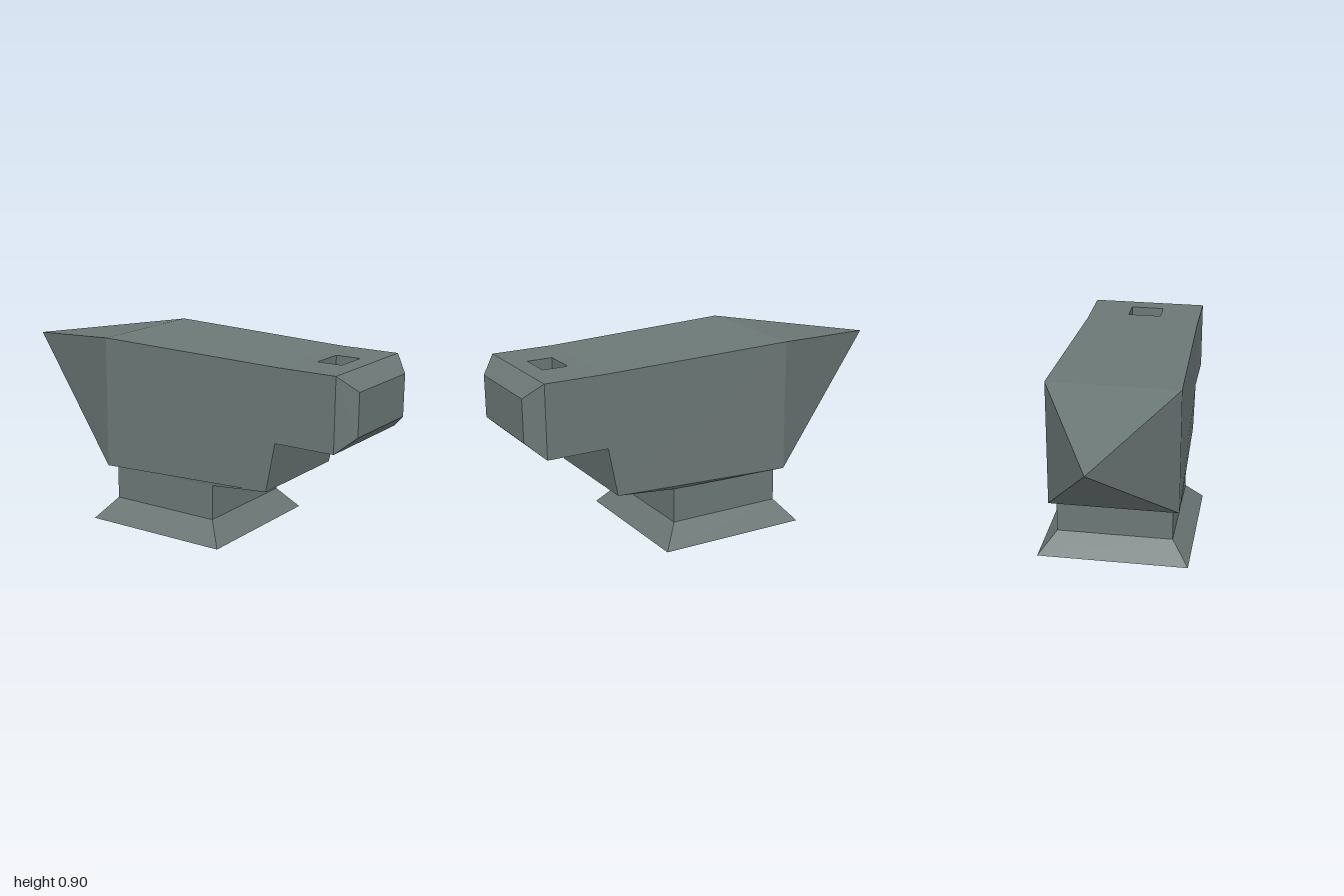
import * as THREE from 'three';

// Flat-faced mesh from polygons listed counter-clockwise seen from outside
function facets(name, polygons, material) {
  const pos = [];
  for (const p of polygons)
    for (let i = 1; i < p.length - 1; i++) pos.push(...p[0], ...p[i], ...p[i + 1]);
  const g = new THREE.BufferGeometry();
  g.setAttribute('position', new THREE.Float32BufferAttribute(pos, 3));
  g.computeVertexNormals();
  const mesh = new THREE.Mesh(g, material);
  mesh.name = name;
  return mesh;
}

// Each polygon followed by its mirror image across z = 0
const mirrored = (polys) => polys.concat(
  polys.map((p) => p.map(([x, y, z]) => [x, y, -z]).reverse()));

// Horizontal rectangle, counter-clockwise from above
const flatRect = (x0, x1, z, y) => [[x0, y, z], [x1, y, z], [x1, y, -z], [x0, y, -z]];
// Rectangle across the x axis, counter-clockwise seen from +x
const endRect = (x, y0, y1, z) => [[x, y0, z], [x, y0, -z], [x, y1, -z], [x, y1, z]];

// Four-sided bands joining two matching rectangles
const band = (a, b) => a.map((p, i) => {
  const j = (i + 1) % 4;
  return [p, a[j], b[j], b[i]];
});

export function createModel() {
  const iron = new THREE.MeshStandardMaterial({ color: 0x6c7876, side: THREE.DoubleSide });
  iron.name = 'iron';
  const group = new THREE.Group();
  group.name = 'anvil';

  // Corner points on the +z side
  const tip = [-1, 0.8, 0];
  const hornTop = [-0.3, 0.9, 0.316], hornLow = [-0.3, 0.268, 0.316];
  const bodyLow = [0.587, 0.296, 0.287];
  const stepIn = [0.632, 0.53, 0.29], stepTop = [0.632, 0.873, 0.29];
  const flip = ([x, y, z]) => [x, y, -z];

  // Pointed horn
  group.add(facets('horn', [
    ...mirrored([[tip, hornLow, hornTop]]),
    [tip, hornTop, flip(hornTop)],
    [tip, flip(hornLow), hornLow],
  ], iron));

  // Main block, with an underside ring that meets the waist
  const waistTop = flatRect(-0.265, 0.295, 0.283, 0.268);
  const underside = [hornLow, bodyLow, flip(bodyLow), flip(hornLow)];
  group.add(facets('body', [
    ...mirrored([[hornLow, bodyLow, stepIn, stepTop, hornTop]]),
    [hornTop, stepTop, flip(stepTop), flip(hornTop)],
    [bodyLow, flip(bodyLow), flip(stepIn), stepIn],
    ...band(waistTop, underside),
  ], iron));

  // Heel with a square through hole and a bevelled end
  const heelTop = flatRect(0.632, 0.925, 0.29, 0.873);
  const heelLow = flatRect(0.632, 0.925, 0.29, 0.53);
  const holeTop = flatRect(0.72, 0.84, 0.084, 0.873);
  const holeLow = flatRect(0.72, 0.84, 0.084, 0.53);
  const endFace = endRect(1, 0.6, 0.8, 0.217);
  group.add(facets('heel', [
    ...band(heelTop, holeTop),
    ...band(holeLow, heelLow),
    ...mirrored([[heelLow[0], heelLow[1], heelTop[1], heelTop[0]]]),
    ...band(endRect(0.925, 0.53, 0.873, 0.29), endFace),
    endFace,
  ], iron));
  group.add(facets('hardyHole', band(holeTop, holeLow), iron));

  // Hollow waist running up into the body, and flared foot
  const waistLow = flatRect(-0.265, 0.295, 0.283, 0.102);
  group.add(facets('waist', band(waistLow, flatRect(-0.265, 0.295, 0.283, 0.52)), iron));
  group.add(facets('foot', band(flatRect(-0.35, 0.38, 0.368, 0), waistLow), iron));

  return group;
}
